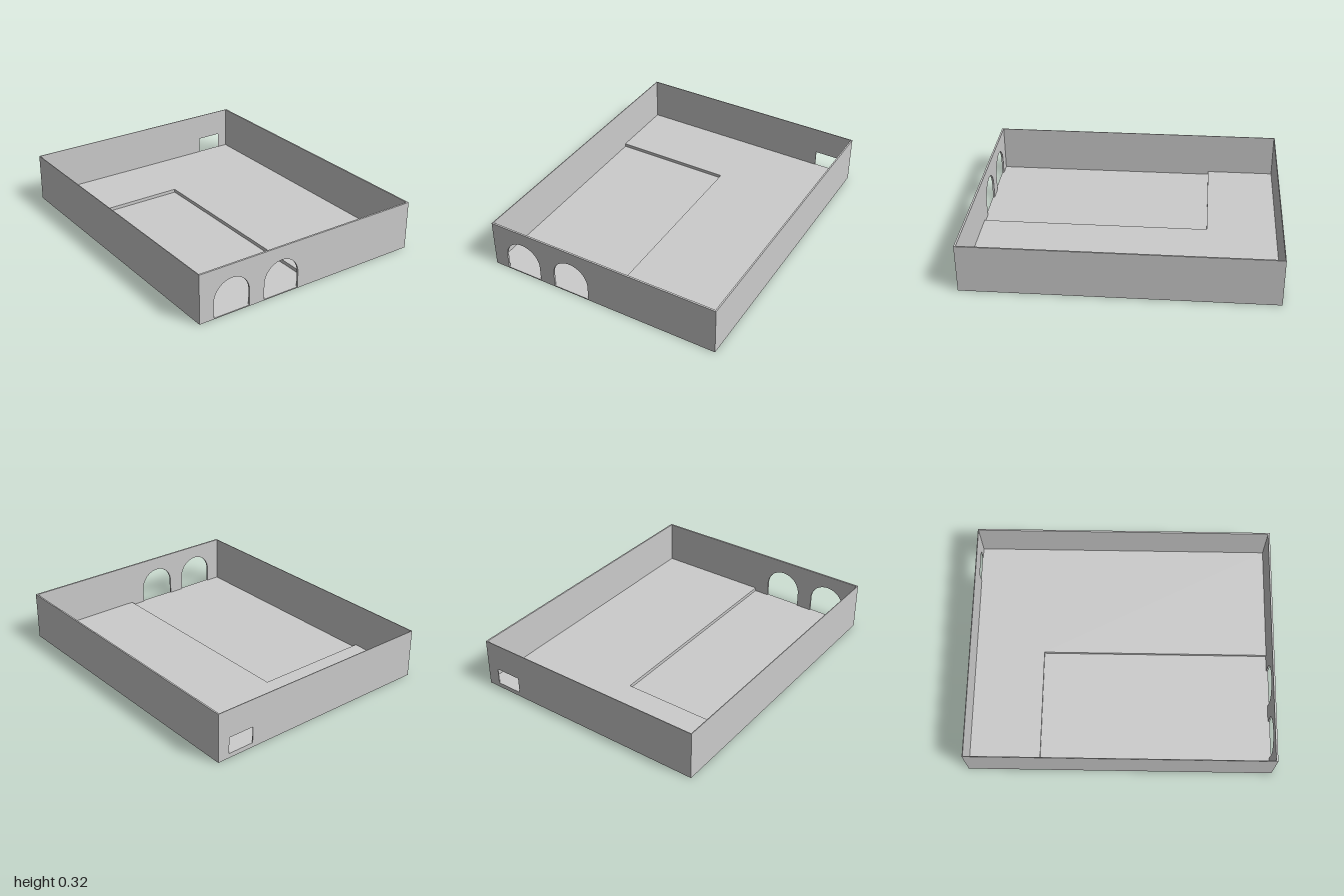
import * as THREE from 'three';

const W = 0.8, D = 1, H = 0.324;           // half width, half depth, wall height
const BASE = 0.007, RAISED = 0.03;         // lower and upper floor levels
const LEFT = 0.01, RIGHT = 0.005, FRONT = 0.012, BACK = 0.005; // wall thicknesses

export function createModel() {
  const model = new THREE.Group();
  const material = new THREE.MeshStandardMaterial({ color: 0xcccccc, flatShading: true });

  const add = (name, geometry, x, y, z) => {
    const mesh = new THREE.Mesh(geometry, material);
    mesh.name = name;
    mesh.position.set(x, y, z);
    model.add(mesh);
  };
  const extrude = (shape, depth) =>
    new THREE.ExtrudeGeometry(shape, { depth, bevelEnabled: false, curveSegments: 16 });
  const polygon = (points) => new THREE.Shape(points.map(([x, y]) => new THREE.Vector2(x, y)));

  // Ground slab, forming the lower floor
  add('baseSlab', new THREE.BoxGeometry(2 * W, BASE, 2 * D), 0, BASE / 2, 0);

  // L-shaped raised floor around the sunken front corner
  const stepX = 0.015, stepZ = -0.53;
  const floor = extrude(polygon([
    [-W + RIGHT, -stepZ], [stepX, -stepZ], [stepX, -D + FRONT],
    [W - LEFT, -D + FRONT], [W - LEFT, D - BACK], [-W + RIGHT, D - BACK],
  ]), RAISED - BASE);
  floor.rotateX(-Math.PI / 2);
  add('raisedFloor', floor, 0, BASE, 0);

  // Front wall with two arched doorways open down to the lower floor
  const front = new THREE.Shape();
  const radius = 0.126, spring = 0.108;
  front.moveTo(-W, BASE);
  for (const cx of [-0.575, -0.216]) {
    front.lineTo(cx - radius, BASE);
    front.lineTo(cx - radius, spring);
    front.absarc(cx, spring, radius, Math.PI, 0, true);
    front.lineTo(cx + radius, BASE);
  }
  front.lineTo(W, BASE);
  front.lineTo(W, H);
  front.lineTo(-W, H);
  front.closePath();
  add('frontWall', extrude(front, FRONT), 0, 0, D - FRONT);

  // Back wall with a small rectangular opening at raised floor level
  const back = polygon([[-W, BASE], [W, BASE], [W, H], [-W, H]]);
  back.holes.push(polygon([[0.543, RAISED], [0.543, 0.138], [0.72, 0.138], [0.72, RAISED]]));
  add('backWall', extrude(back, BACK), 0, 0, -D);

  // Plain side walls between the front and back walls
  const length = 2 * D - FRONT - BACK, midZ = (BACK - FRONT) / 2;
  for (const [name, side, t] of [['leftWall', 1, LEFT], ['rightWall', -1, RIGHT]]) {
    add(name, new THREE.BoxGeometry(t, H - BASE, length), side * (W - t / 2), (H + BASE) / 2, midZ);
  }

  return model;
}
